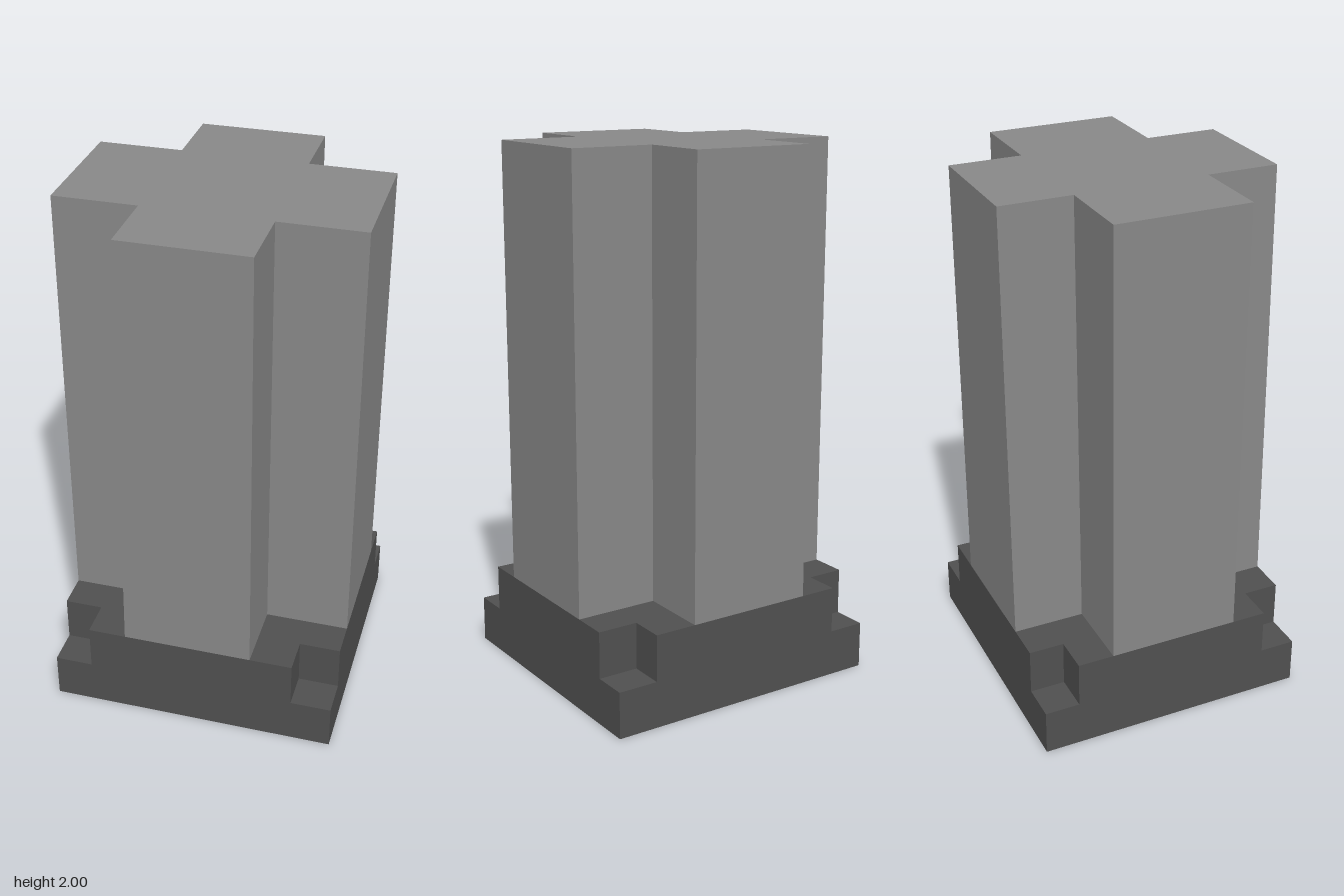
import * as THREE from 'three';

const W = 0.543, D = 0.517; // half width and half depth

// Upright prism with a plus-shaped plan: inner corners at x0, x1 and z0 (back), z1 (front)
function crossPrism(x0, x1, z0, z1, bottom, top) {
  const plan = [
    [x0, -D], [x1, -D], [x1, z0], [W, z0], [W, z1], [x1, z1],
    [x1, D], [x0, D], [x0, z1], [-W, z1], [-W, z0], [x0, z0],
  ];
  const shape = new THREE.Shape(plan.map(([x, z]) => new THREE.Vector2(x, -z)));
  const geometry = new THREE.ExtrudeGeometry(shape, { depth: top - bottom, bevelEnabled: false });
  return geometry.rotateX(-Math.PI / 2).translate(0, bottom, 0);
}

export function createModel() {
  const model = new THREE.Group();
  const stone = new THREE.MeshStandardMaterial({ color: 0x888888 });
  const darkStone = new THREE.MeshStandardMaterial({ color: 0x505050 });

  const add = (name, geometry, material) => {
    const mesh = new THREE.Mesh(geometry, material);
    mesh.name = name;
    model.add(mesh);
    return mesh;
  };

  // Base: full slab with a corner-notched step on top
  add('baseSlab', new THREE.BoxGeometry(2 * W, 0.175, 2 * D), darkStone).position.y = 0.0875;
  add('notchedBase', crossPrism(-0.4, 0.39, -0.385, 0.38, 0.175, 0.35), darkStone);

  // Column: the right-hand sides of the front and back arms lean outward at the foot
  const column = crossPrism(-0.235, 0.23, -0.248, 0.248, 0.35, 2);
  const p = column.attributes.position;
  for (let i = 0; i < p.count; i++) {
    if (p.getY(i) < 1 && Math.abs(p.getX(i) + 0.235) < 0.001) p.setX(i, -0.257);
  }
  column.computeVertexNormals();
  add('column', column, stone);

  return model;
}
